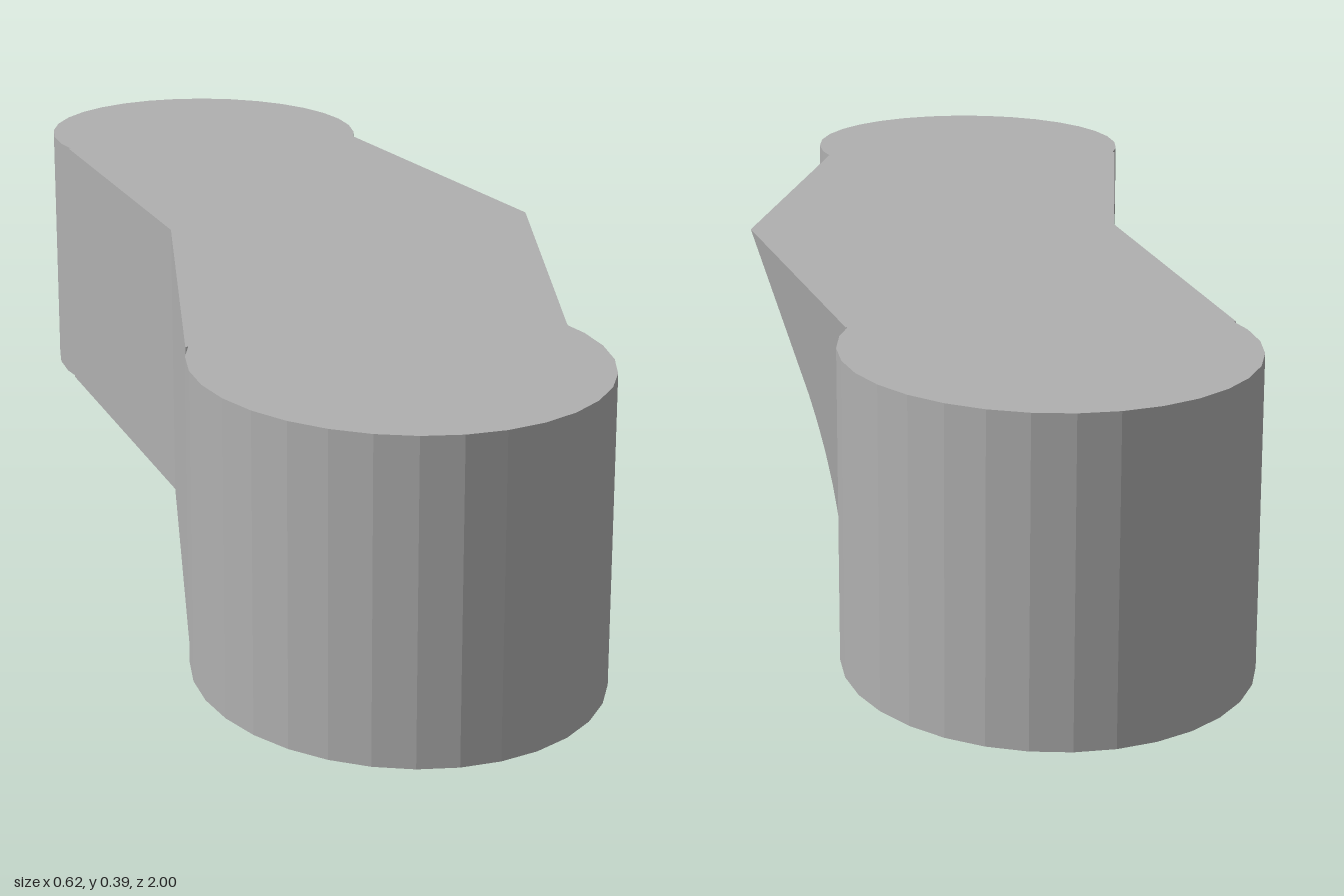
import * as THREE from 'three';

const HEIGHT = 0.392;
const END_Z = 0.7, END_X = -0.055, RX = 0.253, RZ = 0.3; // oval ends
const JOIN_Z = 0.6; // where the middle meets the ovals

// Gives each side of a bent box one averaged normal, so it shades as a single facet
function facetSides(geometry) {
  geometry.computeVertexNormals();
  const normal = geometry.attributes.normal, index = geometry.index;
  for (const { start, count } of geometry.groups) {
    const sum = new THREE.Vector3(), v = new THREE.Vector3();
    for (let i = start; i < start + count; i++) sum.add(v.fromBufferAttribute(normal, index.getX(i)));
    sum.normalize();
    for (let i = start; i < start + count; i++) normal.setXYZ(index.getX(i), sum.x, sum.y, sum.z);
  }
}

export function createModel() {
  const group = new THREE.Group();
  const grey = new THREE.MeshStandardMaterial({ color: 0xb0b0b0 });
  grey.name = 'grey';
  const endGrey = grey.clone();
  endGrey.flatShading = true;

  for (const s of [1, -1]) {
    const side = s > 0 ? 'front' : 'back';

    // Faceted oval end
    const end = new THREE.Mesh(new THREE.CylinderGeometry(1, 1, HEIGHT, 32), endGrey);
    end.scale.set(RX, 1, RZ);
    end.position.set(END_X, HEIGHT / 2, s * END_Z);
    end.name = side + 'End';
    group.add(end);

    // Half of the bent middle: outer side leans out towards the ridge at z = 0
    const geometry = new THREE.BoxGeometry(1, 1, 1, 1, 6, 8);
    const p = geometry.attributes.position;
    for (let i = 0; i < p.count; i++) {
      const u = p.getX(i) + 0.5, h = p.getY(i) + 0.5, w = p.getZ(i) + 0.5;
      const t = s > 0 ? w : 1 - w; // 0 at the ridge, 1 at the oval
      const left = THREE.MathUtils.lerp(-0.22, -0.296, t);
      const ridge = THREE.MathUtils.lerp(0.181, 0.307, h);
      const right = THREE.MathUtils.lerp(ridge, 0.184, t);
      p.setXYZ(i, THREE.MathUtils.lerp(left, right, u), h * HEIGHT, s * t * JOIN_Z);
    }
    facetSides(geometry);
    const middle = new THREE.Mesh(geometry, grey);
    middle.name = side + 'Middle';
    group.add(middle);
  }
  return group;
}
